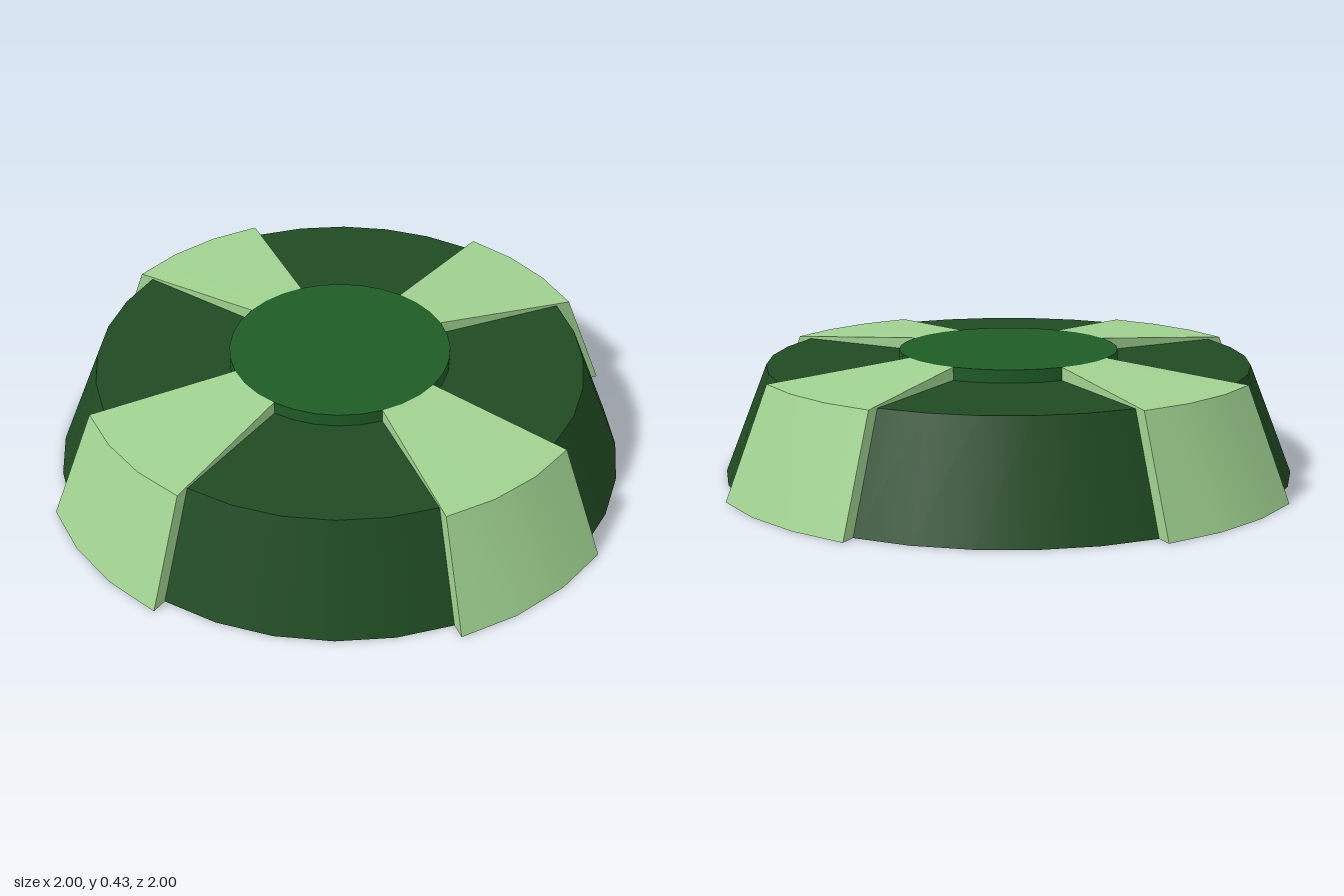
import * as THREE from 'three';
import { mergeGeometries, toCreasedNormals } from 'three/addons/utils/BufferGeometryUtils.js';

const SIDES = 32;
const STEP = (Math.PI * 2) / SIDES;
const CAP_R = 0.385, CAP_TOP = 0.425, BASE_H = 0.38;

// A ring segment that wraps over the base's top and flank, closed at both ends
function ribGeometry(start, steps) {
  const outline = [[1, 0], [1.055, 0], [0.9, 0.384], [CAP_R, CAP_TOP]]
    .map(([r, y]) => new THREE.Vector2(r, y));
  const skin = new THREE.LatheGeometry(outline, steps, start, steps * STEP);

  const section = new THREE.Shape([
    ...outline,
    new THREE.Vector2(CAP_R, BASE_H),
    new THREE.Vector2(0.85, BASE_H),
  ]);
  const endWall = (angle, flip) => {
    const wall = new THREE.ShapeGeometry(section).rotateY(angle - Math.PI / 2);
    if (flip) wall.index.array.reverse();
    return wall;
  };
  const merged = mergeGeometries([
    skin,
    endWall(start, false),
    endWall(start + steps * STEP, true),
  ]);
  return toCreasedNormals(merged, 0.5);
}

export function createModel() {
  const group = new THREE.Group();
  const add = (name, geometry, material) => {
    const mesh = new THREE.Mesh(geometry, material);
    mesh.name = name;
    group.add(mesh);
    return mesh;
  };
  const darkGreen = new THREE.MeshStandardMaterial({ color: 0x1f4a22 });
  const midGreen = new THREE.MeshStandardMaterial({ color: 0x1e5c26 });
  const paleGreen = new THREE.MeshStandardMaterial({ color: 0xa0d290, side: THREE.DoubleSide });

  // Tapered body
  add('base', new THREE.CylinderGeometry(0.85, 1, BASE_H, SIDES), darkGreen)
    .position.y = BASE_H / 2;

  // Raised disc in the middle of the top
  const capH = CAP_TOP - BASE_H;
  add('centreCap', new THREE.CylinderGeometry(CAP_R, CAP_R, capH, SIDES), midGreen)
    .position.y = BASE_H + capH / 2;

  // Four pale ribs, a quarter turn apart
  const rib = ribGeometry(2 * STEP, 3);
  for (let i = 0; i < 4; i++) {
    add('rib' + (i + 1), rib, paleGreen).rotation.y = (i * Math.PI) / 2;
  }
  return group;
}
